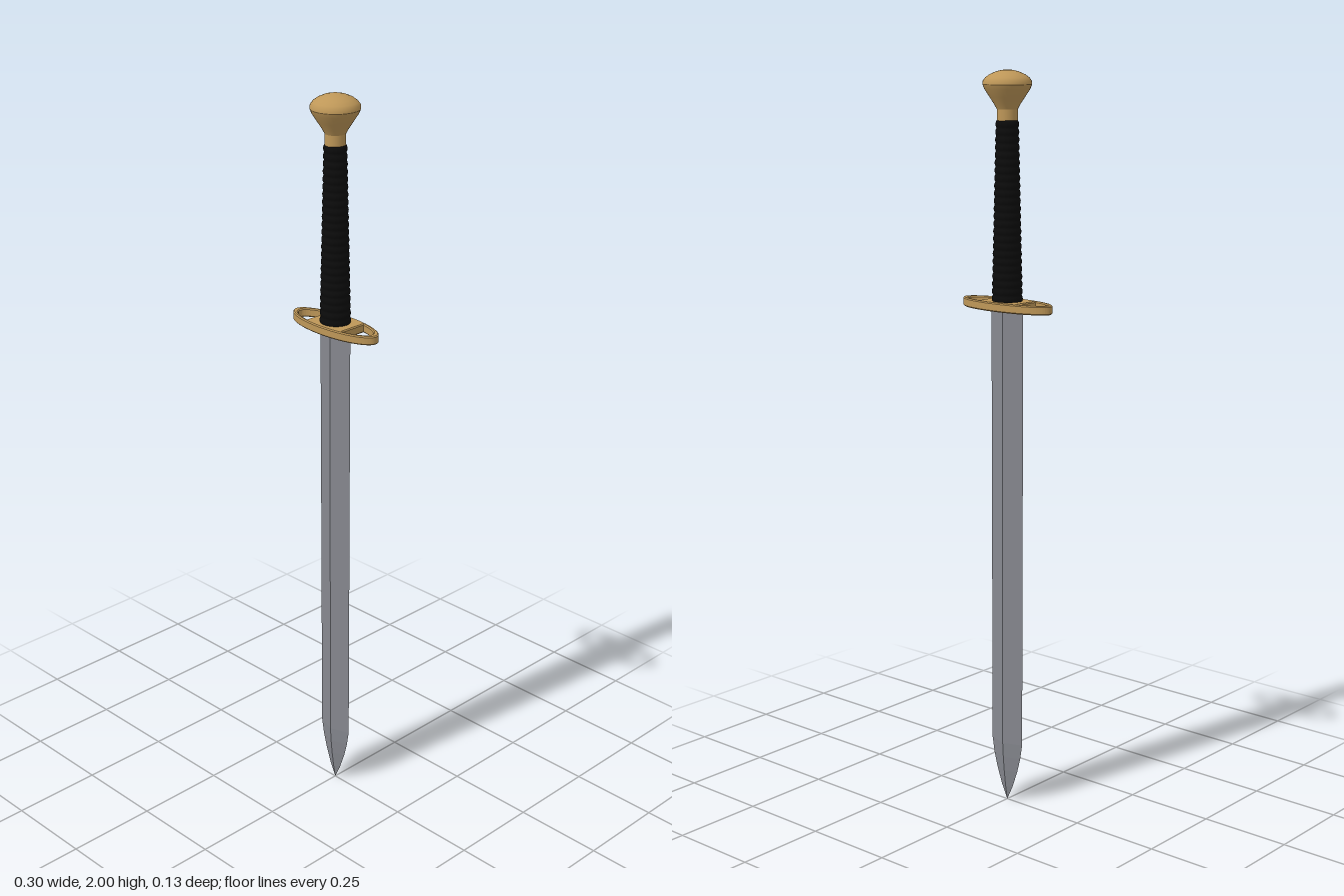
import * as THREE from 'three';

const brass = new THREE.MeshStandardMaterial({ name: 'brass', color: 0xbe9758 });
const steel = new THREE.MeshStandardMaterial({ name: 'steel', color: 0x878990, flatShading: true });
const leather = new THREE.MeshStandardMaterial({ name: 'black leather', color: 0x0b0b0b });

const points = (list) => list.map(([r, y]) => new THREE.Vector2(r, y));

function addPart(group, name, geometry, material) {
  const mesh = new THREE.Mesh(geometry, material);
  mesh.name = name;
  group.add(mesh);
  return mesh;
}

// Half of an ellipse-shaped hole, cut off straight beside the grip block
function guardHole(side) {
  const a = 0.131, b = 0.044, inner = 0.064;
  const limit = Math.acos(inner / a);
  const outline = [];
  for (let i = 0; i <= 20; i++) {
    const t = limit * (i / 10 - 1);
    outline.push(new THREE.Vector2(side * a * Math.cos(t), b * Math.sin(t)));
  }
  return new THREE.Path(outline);
}

export function createModel() {
  const sword = new THREE.Group();
  sword.name = 'sword';

  // Blade: diamond section narrowing to a curved point
  const bladeProfile = points([
    [0, 0], [0.019, 0.04], [0.036, 0.088], [0.047, 0.13], [0.054, 0.172], [0.055, 1.39], [0, 1.39],
  ]);
  const blade = new THREE.LatheGeometry(bladeProfile, 4);
  blade.scale(1, 1, 0.36);
  addPart(sword, 'blade', blade, steel);

  // Guard: flat oval with an opening on each side of the grip
  const oval = new THREE.Shape();
  oval.absellipse(0, 0, 0.148, 0.053, 0, Math.PI * 2);
  oval.holes.push(guardHole(1), guardHole(-1));
  const guard = new THREE.ExtrudeGeometry(oval, {
    depth: 0.018, bevelEnabled: true, bevelThickness: 0.003, bevelSize: 0.003,
    bevelOffset: -0.003, bevelSegments: 1, curveSegments: 32,
  });
  guard.rotateX(-Math.PI / 2);
  addPart(sword, 'guard', guard, brass).position.y = 1.383;

  // Grip: tapering core wrapped in rounded cord turns
  const turns = 24, bottom = 1.4, top = 1.872;
  const gripProfile = [new THREE.Vector2(0, bottom)];
  for (let i = 0; i <= turns * 6; i++) {
    const t = i / (turns * 6);
    const rib = 0.003 * Math.abs(Math.sin(Math.PI * turns * t));
    gripProfile.push(new THREE.Vector2(0.039 - 0.011 * t + rib, bottom + (top - bottom) * t));
  }
  gripProfile.push(new THREE.Vector2(0, top));
  const grip = new THREE.LatheGeometry(gripProfile, 28);
  grip.scale(1, 1, 0.95);
  addPart(sword, 'grip', grip, leather);

  // Collar between grip and pommel
  const collar = new THREE.CylinderGeometry(0.027, 0.027, 0.06, 28);
  addPart(sword, 'collar', collar, brass).position.y = 1.885;

  // Pommel: flared cone below a shallow dome
  const flare = points([[0.027, 1.9], [0.034, 1.913], [0.046, 1.931], [0.059, 1.951], [0.064, 1.963]]);
  addPart(sword, 'pommelFlare', new THREE.LatheGeometry(flare, 36), brass);
  const dome = points([
    [0.064, 1.963], [0.063, 1.972], [0.057, 1.98], [0.046, 1.988], [0.03, 1.995], [0.014, 1.999], [0, 2],
  ]);
  addPart(sword, 'pommelDome', new THREE.LatheGeometry(dome, 36), brass);

  return sword;
}
